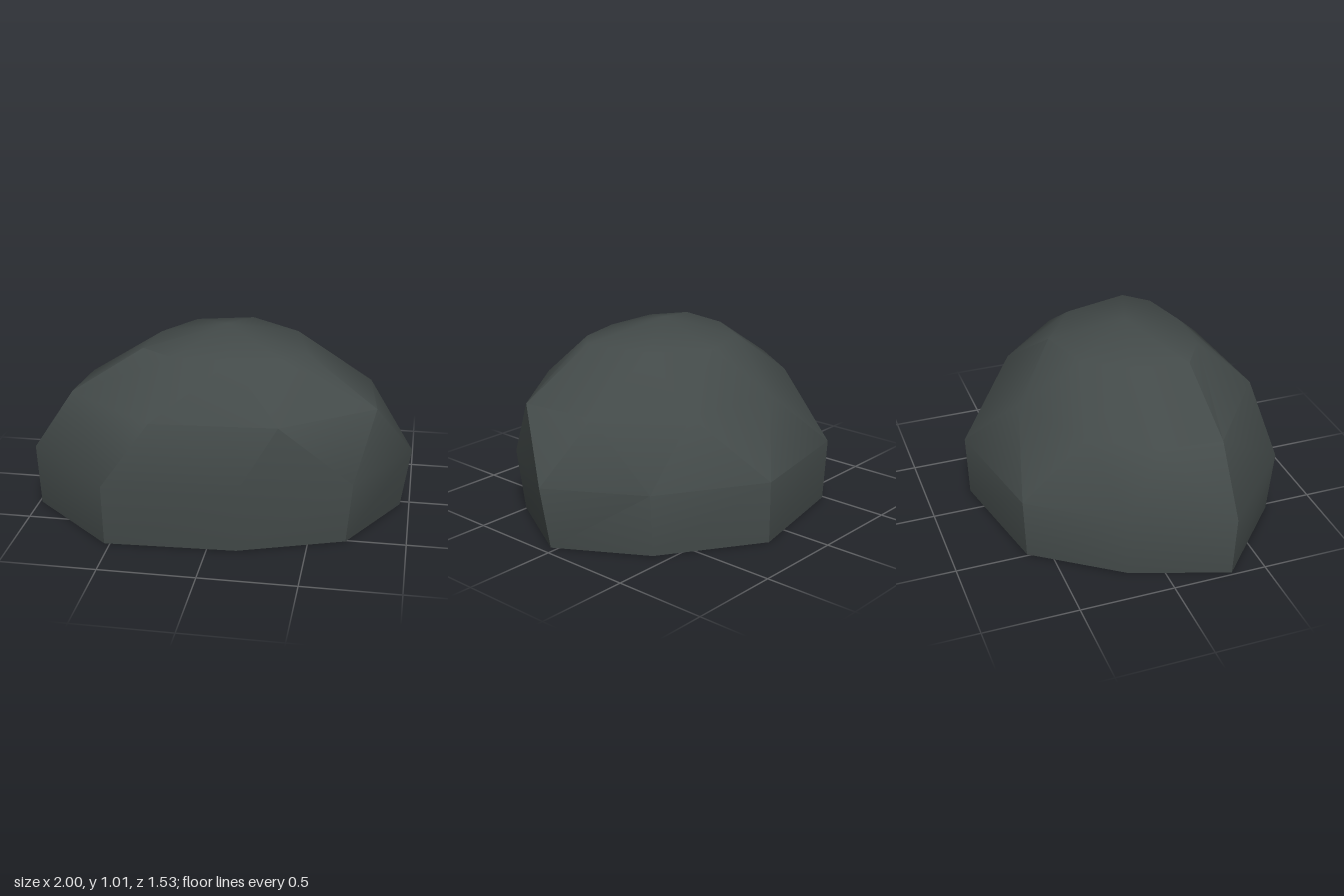
import * as THREE from 'three';
import { toCreasedNormals } from 'three/addons/utils/BufferGeometryUtils.js';

// Horizontal cross-sections as [x, z], running left, front, right, back
const rings = [
  { y: 0, pts: [[-0.985, 0.32], [-0.53, 0.73], [0.15, 0.7], [0.69, 0.51], [0.95, 0.035],
    [0.68, -0.42], [0.17, -0.755], [-0.49, -0.62], [-0.81, -0.18]] },
  { y: 0.335, pts: [[-1, 0.33], [-0.53, 0.765], [0.15, 0.73], [0.72, 0.535], [1, 0.05],
    [0.71, -0.43], [0.18, -0.765], [-0.5, -0.635], [-0.83, -0.19]] },
  { y: 0.67, pts: [[-0.78, 0.33], [-0.29, 0.705], [0.35, 0.66], [0.815, 0.33], [0.76, -0.09],
    [0.42, -0.44], [-0.11, -0.53], [-0.54, -0.3], [-0.75, 0.01]] },
  { y: 0.92, pts: [[-0.4, 0.3], [-0.22, 0.42], [0.08, 0.43], [0.33, 0.37], [0.45, 0.25],
    [0.36, -0.1], [0.09, -0.3], [-0.21, -0.22], [-0.36, 0.02]] },
];

function boulderGeometry() {
  const n = 9;
  const positions = [];
  const index = [];
  rings.forEach(({ y, pts }) => pts.forEach(([x, z]) => positions.push(x, y, z)));
  positions.push(0.01, 1.01, 0.1, 0, 0, 0);
  const apex = 4 * n, base = apex + 1;

  for (let i = 0; i < n; i++) {
    const j = (i + 1) % n;
    const at = (ring, k) => ring * n + k;
    // Upright sides
    index.push(at(0, i), at(0, j), at(1, j), at(0, i), at(1, j), at(1, i));
    // Staggered shoulder
    index.push(at(1, i), at(1, j), at(2, i), at(1, j), at(2, j), at(2, i));
    // Upper slope
    index.push(at(2, i), at(2, j), at(3, j), at(2, i), at(3, j), at(3, i));
    // Crown and flat underside
    index.push(at(3, i), at(3, j), apex, at(0, j), at(0, i), base);
  }

  const geometry = new THREE.BufferGeometry();
  geometry.setAttribute('position', new THREE.Float32BufferAttribute(positions, 3));
  geometry.setIndex(index);
  return toCreasedNormals(geometry, 0.68);
}

export function createModel() {
  const group = new THREE.Group();
  group.name = 'rock';
  const stone = new THREE.MeshStandardMaterial({ color: 0x434a49 });
  stone.name = 'dark stone';
  const boulder = new THREE.Mesh(boulderGeometry(), stone);
  boulder.name = 'boulder';
  group.add(boulder);
  return group;
}
